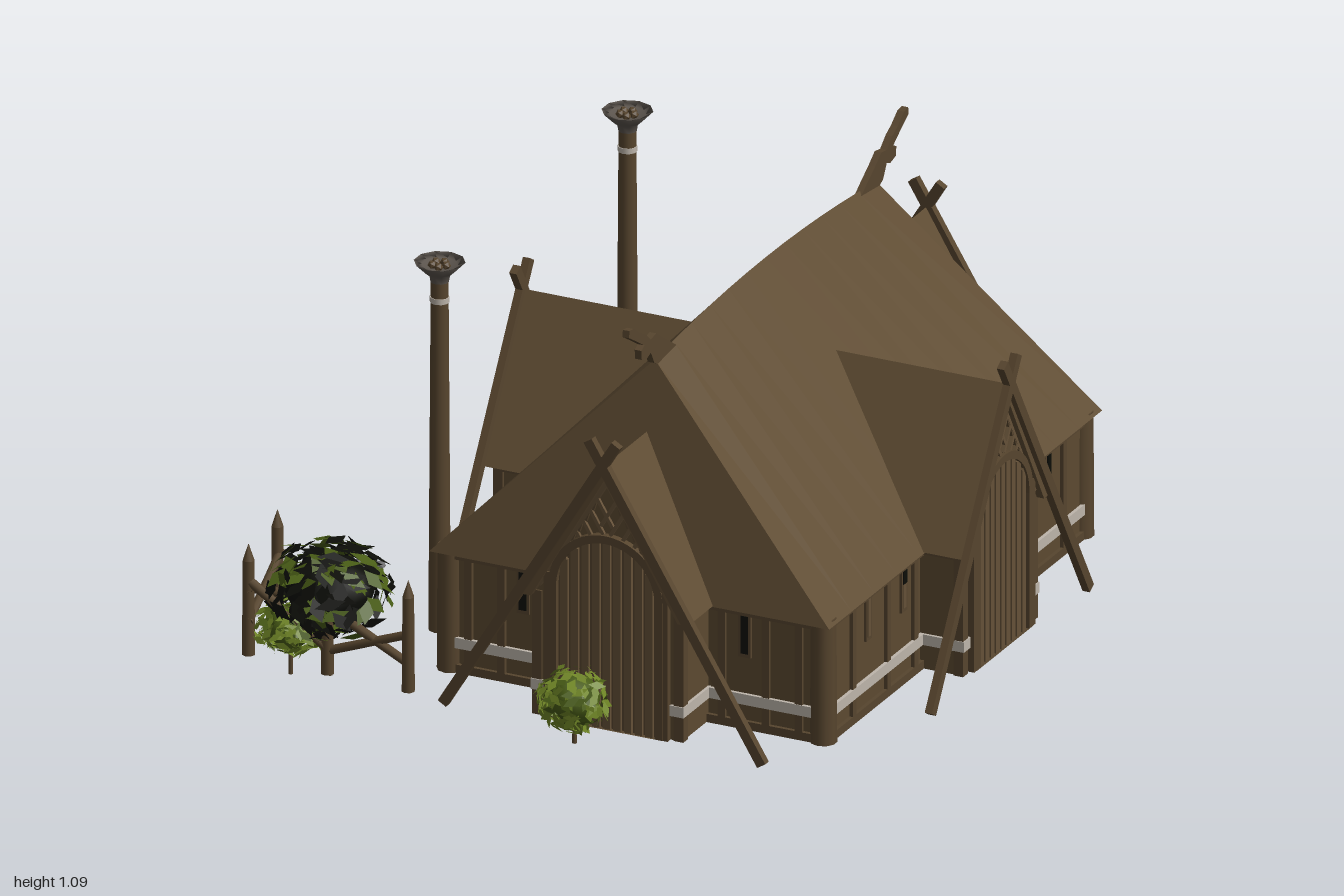
import * as THREE from 'three';

const V = (x, y, z) => new THREE.Vector3(x, y, z);
const mat = (name, color, side = THREE.FrontSide) => {
  const m = new THREE.MeshStandardMaterial({ color, side });
  m.name = name;
  return m;
};
const M = {
  roof: mat('roof brown', 0x5f4c33),
  wall: mat('wall brown', 0x5c4a31),
  beam: mat('timber', 0x57452e),
  door: mat('door wood', 0x655138),
  stripe: mat('pale stripe', 0xbdb5ab),
  stone: mat('grey stone', 0x6c6c6d),
  iron: mat('bowl metal', 0x5c554e, THREE.DoubleSide),
  black: mat('near black', 0x0c0d08, THREE.DoubleSide),
  leaf: mat('green leaf', 0x495d16, THREE.DoubleSide),
  leafLight: mat('light leaf', 0x6f8526, THREE.DoubleSide),
};
const GROUND = 0.07, EAVE = 0.4, CX = 0.213, CZ = -0.01;

let seed = 7;
const rnd = () => (seed = (seed * 16807) % 2147483647) / 2147483647;

function add(g, name, geo, m, x = 0, y = 0, z = 0) {
  const mesh = new THREE.Mesh(geo, m);
  mesh.name = name;
  mesh.position.set(x, y, z);
  g.add(mesh);
  return mesh;
}
const box = (g, name, m, w, h, d, x, y, z) => add(g, name, new THREE.BoxGeometry(w, h, d), m, x, y, z);

// Straight timber between two points, square or round
function timber(g, name, m, a, b, w, d, round = false) {
  const len = a.distanceTo(b);
  const geo = round ? new THREE.CylinderGeometry(d, w, len, 8) : new THREE.BoxGeometry(w, len, d);
  const mesh = add(g, name, geo, m);
  mesh.position.copy(a).add(b).multiplyScalar(0.5);
  mesh.quaternion.setFromUnitVectors(V(0, 1, 0), b.clone().sub(a).normalize());
}
function extrude(pts, depth) {
  const s = new THREE.Shape(pts.map(p => new THREE.Vector2(p[0], p[1])));
  return new THREE.ExtrudeGeometry(s, { depth, bevelEnabled: false });
}
function archShape(r, springY, Type = THREE.Shape) {
  const s = new Type();
  s.moveTo(-r, GROUND);
  s.lineTo(r, GROUND);
  s.lineTo(r, springY);
  s.absarc(0, springY, r, 0, Math.PI, false);
  s.lineTo(-r, GROUND);
  return s;
}

// Main roof: triangular sections along z, bowed ridge, inward-leaning ends
function mainRoof() {
  const N = 12, pos = [];
  const ring = t => [[-0.545, EAVE - 0.01, 0.752 * t], [0.545, EAVE - 0.01, 0.752 * t], [0, 0.985 - 0.035 * t * t, 0.61 * t]];
  const tri = (a, b, c) => pos.push(...a, ...b, ...c);
  for (let i = 0; i < N; i++) {
    const a = ring(-1 + 2 * i / N), b = ring(-1 + 2 * (i + 1) / N);
    for (let k = 0; k < 3; k++) {
      const n = (k + 1) % 3;
      tri(a[k], a[n], b[n]);
      tri(a[k], b[n], b[k]);
    }
  }
  const s = ring(-1), e = ring(1);
  tri(s[0], s[2], s[1]);
  tri(e[0], e[1], e[2]);
  const geo = new THREE.BufferGeometry();
  geo.setAttribute('position', new THREE.Float32BufferAttribute(pos, 3));
  geo.computeVertexNormals();
  return geo;
}

// Gabled porch facing +z, its outer beams at distance D from the house centre
function porch(D, inner) {
  const g = new THREE.Group(), F = D - 0.025, top = 0.775, depth = F - inner, mid = (F + inner) / 2;
  box(g, 'porchWalls', M.wall, 0.4, EAVE - GROUND, depth, 0, (EAVE + GROUND) / 2, mid);
  add(g, 'gableWall', extrude([[-0.205, EAVE - 0.01], [0.205, EAVE - 0.01], [0, top - 0.03]], depth), M.wall, 0, 0, inner);
  add(g, 'porchRoof', extrude([[-0.228, 0.392], [-0.2, 0.392], [0, top - 0.04], [0.2, 0.392], [0.228, 0.392], [0, top]], D - inner), M.roof, 0, 0, inner);
  // Arched door
  add(g, 'doorBack', new THREE.ExtrudeGeometry(archShape(0.138, 0.43), { depth: 0.004, bevelEnabled: false }), M.beam, 0, 0, F);
  const frame = archShape(0.155, 0.43);
  frame.holes.push(archShape(0.134, 0.43, THREE.Path));
  add(g, 'doorFrame', new THREE.ExtrudeGeometry(frame, { depth: 0.018, bevelEnabled: false, curveSegments: 16 }), M.beam, 0, 0, F);
  for (let i = -4; i <= 4; i++) {
    const x = i * 0.029, h = 0.43 + Math.sqrt(0.136 ** 2 - x * x) - GROUND;
    box(g, 'doorPlank', M.door, 0.02, h, 0.009, x, GROUND + h / 2, F + 0.008);
  }
  for (const s of [-1, 1]) {
    // Pale stripe along the side and beside the door
    box(g, 'sideStripe', M.stripe, 0.009, 0.028, depth + 0.007, s * 0.2035, 0.15, mid + 0.0035);
    box(g, 'frontStripe', M.stripe, 0.038, 0.028, 0.008, s * 0.189, 0.15, F + 0.004);
    // Corner posts, door posts and wall rails
    box(g, 'cornerPost', M.beam, 0.026, EAVE - GROUND, 0.026, s * 0.193, 0.235, F - 0.008);
    box(g, 'doorPost', M.beam, 0.018, 0.39, 0.018, s * 0.16, 0.265, F + 0.008);
    box(g, 'sideRail', M.beam, 0.012, 0.018, depth, s * 0.2, 0.385, mid);
    // Crossed gable beam, running from the ground past the ridge
    timber(g, 'gableBeam', M.beam, V(s * 0.435, GROUND - 0.005, D + 0.004), V(-s * 0.038, 0.84, D + 0.004), 0.026, 0.02);
    // Lattice above the door
    timber(g, 'innerRafter', M.door, V(s * 0.185, 0.42, F + 0.006), V(0, 0.725, F + 0.006), 0.012, 0.012);
    for (let i = 0; i < 6; i++) {
      const y = 0.52 + i * 0.032, x = (0.725 - y) * 0.607, len = 0.025 + i * 0.012;
      timber(g, 'lattice', M.door, V(s * x, y, F + 0.008), V(s * (x - len * 0.51), y - len * 0.86, F + 0.008), 0.009, 0.008);
      timber(g, 'lattice', M.beam, V(s * x, y, F + 0.007), V(s * (x + 0.012), y - 0.035, F + 0.007), 0.009, 0.008);
    }
  }
  return g;
}

// Carved beast head on the ridge, drawn in (outward, up)
function ridgeHead() {
  const pts = [[0.5, 0.945], [0.6, 0.935], [0.63, 0.95], [0.65, 0.985], [0.67, 0.978], [0.7, 0.985], [0.703, 1.01], [0.685, 1.018], [0.72, 1.04],
    [0.77, 1.07], [0.768, 1.088], [0.745, 1.085], [0.71, 1.06], [0.68, 1.045], [0.65, 1.02], [0.62, 1.025], [0.585, 1.0], [0.54, 0.972]];
  return extrude(pts, 0.018).translate(0, 0, -0.009).rotateY(-Math.PI / 2);
}

// Leafy bush: a core wrapped in tilted leaf quads, dark bushes greener on top
function bush(root, name, x, y, z, r, light, sy = 0.85) {
  const g = new THREE.Group();
  g.name = name;
  g.position.set(x, y, z);
  g.scale.y = sy;
  const sets = [[], []];
  for (let i = 0; i < 230; i++) {
    const u = rnd() * 2 - 1, a = rnd() * Math.PI * 2, q = Math.sqrt(1 - u * u);
    const d = V(q * Math.cos(a), u, q * Math.sin(a));
    const c = d.clone().multiplyScalar(r * (0.7 + 0.24 * rnd()));
    const n = d.clone().add(V(rnd() - 0.5, rnd() - 0.2, rnd() - 0.5)).normalize();
    const t = V(rnd() - 0.5, rnd() - 0.5, rnd() - 0.5).cross(n).normalize().multiplyScalar(r * 0.24);
    const b = n.clone().cross(t).multiplyScalar(0.5);
    const p = [c.clone().sub(t), c.clone().sub(b), c.clone().add(t), c.clone().add(b)];
    const k = rnd() < (light ? 0.3 : u > 0.4 ? 0.6 : 0.17) ? 1 : 0;
    for (const j of [0, 1, 2, 0, 2, 3]) sets[k].push(p[j].x, p[j].y, p[j].z);
  }
  sets.forEach((s, k) => {
    const geo = new THREE.BufferGeometry();
    geo.setAttribute('position', new THREE.Float32BufferAttribute(s, 3));
    geo.computeVertexNormals();
    add(g, 'leaves', geo, k ? M.leaf : light ? M.leafLight : M.black);
  });
  add(g, 'bushCore', new THREE.IcosahedronGeometry(r * 0.66, 1), light ? M.leaf : M.black);
  root.add(g);
  timber(root, 'bushStem', M.beam, V(x, 0.035, z), V(x, y, z), 0.006, 0.005, true);
}

export function createModel() {
  const root = new THREE.Group();
  root.name = 'timberHall';
  const hall = new THREE.Group();
  hall.name = 'hall';
  hall.position.set(CX, 0, CZ);
  root.add(hall);

  // Main block; the pale stripe runs unbroken over the studs
  const midY = (EAVE + GROUND) / 2, h = EAVE - GROUND;
  box(hall, 'mainWalls', M.wall, 1.04, h, 1.44, 0, midY, 0);
  for (const s of [-1, 1]) {
    box(hall, 'wallStripe', M.stripe, 0.009, 0.028, 1.42, s * 0.527, 0.15, 0);
    box(hall, 'wallStripe', M.stripe, 1.02, 0.028, 0.009, 0, 0.15, s * 0.727);
  }
  box(hall, 'wallPlate', M.beam, 1.06, 0.022, 1.46, 0, 0.382, 0);
  box(hall, 'sill', M.beam, 1.06, 0.022, 1.46, 0, 0.081, 0);
  add(hall, 'mainRoof', mainRoof(), M.roof);
  for (const sx of [-1, 1]) for (const sz of [-1, 1]) {
    add(hall, 'cornerColumn', new THREE.CylinderGeometry(0.032, 0.034, h, 10), M.beam, sx * 0.508, midY, sz * 0.708);
    for (const z of [0.24, 0.39, 0.58]) box(hall, 'wallStud', M.beam, 0.02, h, 0.02, sx * 0.52, midY, sz * z);
    for (const x of [0.24, 0.36, 0.45]) box(hall, 'wallStud', M.beam, 0.02, h, 0.02, sx * x, midY, sz * 0.72);
    // Slit windows: some open, some half or fully shuttered
    for (const z of [0.3, 0.495]) {
      const open = z < 0.4 ? 0.035 : sx * sz < 0 ? 0.1 : 0;
      box(hall, 'windowFrame', M.beam, 0.008, 0.12, 0.03, sx * 0.523, 0.32, sz * z);
      box(hall, 'shutter', M.door, 0.008, 0.1, 0.016, sx * 0.5245, 0.32, sz * z);
      if (open) box(hall, 'window', M.black, 0.008, open, 0.018, sx * 0.526, 0.37 - open / 2, sz * z);
    }
    box(hall, 'windowFrame', M.beam, 0.034, 0.12, 0.008, sx * 0.302, 0.32, sz * 0.723);
    box(hall, 'window', M.black, 0.02, 0.1, 0.008, sx * 0.302, 0.32, sz * 0.725);
  }
  // Four porches and two ridge heads
  ['frontPorch', 'leftPorch', 'backPorch', 'rightPorch'].forEach((name, i) => {
    const p = i % 2 ? porch(0.66, 0.15) : porch(0.89, 0.56);
    p.name = name;
    p.rotation.y = i * Math.PI / 2;
    hall.add(p);
  });
  for (const ry of [0, Math.PI]) add(hall, 'ridgeHead', ridgeHead(), M.beam).rotation.y = ry;

  // Brazier pillars
  const bowl = [[0.023, 0.995], [0.026, 1.012], [0.038, 1.022], [0.064, 1.048], [0.045, 1.04], [0.02, 1.032], [0, 1.03]].map(p => new THREE.Vector2(...p));
  for (const z of [-0.54, 0.495]) {
    add(root, 'pillar', new THREE.CylinderGeometry(0.022, 0.028, 0.93, 10), M.beam, -0.425, 0.535, z);
    add(root, 'pillarBand', new THREE.CylinderGeometry(0.0245, 0.0245, 0.014, 10), M.stripe, -0.425, 0.948, z);
    add(root, 'brazierBowl', new THREE.LatheGeometry(bowl, 10), M.iron, -0.425, 0, z);
    for (let i = 0; i < 5; i++) {
      const a = i * 1.257;
      add(root, 'coal', new THREE.IcosahedronGeometry(0.012, 0), M.beam, -0.425 + 0.018 * Math.cos(a), 1.04, z + 0.018 * Math.sin(a));
    }
  }

  // Broken corner fence
  for (const [x, z, top] of [[-0.805, 0.62, 0.32], [-0.775, 0.84, 0.32], [-0.55, 0.86, 0.24], [-0.325, 0.87, 0.32]]) {
    add(root, 'fencePost', new THREE.CylinderGeometry(0.015, 0.017, top - GROUND, 8), M.beam, x, (top + GROUND) / 2, z);
    add(root, 'fencePoint', new THREE.ConeGeometry(0.015, 0.045, 8), M.beam, x, top + 0.022, z);
  }
  const rails = [[-0.8, 0.25, 0.61, -0.77, 0.16, 0.85], [-0.8, 0.14, 0.61, -0.77, 0.25, 0.85],
    [-0.78, 0.27, 0.84, -0.55, 0.14, 0.865], [-0.55, 0.13, 0.86, -0.32, 0.22, 0.865], [-0.55, 0.24, 0.85, -0.32, 0.14, 0.87]];
  for (const r of rails) timber(root, 'fenceRail', M.beam, V(r[0], r[1], r[2]), V(r[3], r[4], r[5]), 0.012, 0.011, true);

  // Bushes
  bush(root, 'fenceBush', -0.575, 0.265, 0.795, 0.17, false, 0.76);
  bush(root, 'fenceLowBush', -0.665, 0.16, 0.83, 0.095, true, 0.8);
  bush(root, 'frontBush', 0.145, 0.155, 0.905, 0.098, true, 0.92);
  bush(root, 'backCornerBush', -0.505, 0.195, -0.855, 0.138, false, 0.85);
  bush(root, 'backCornerLowBush', -0.665, 0.155, -0.84, 0.105, true, 0.75);
  bush(root, 'backBush', 0.275, 0.2, -0.83, 0.18, false, 0.7);
  timber(root, 'backBushRoot', M.beam, V(0.37, 0, -0.86), V(0.36, 0.16, -0.86), 0.005, 0.006, true);

  // Rocks: x, z, size, width
  for (const [x, z, r, w] of [[-0.835, 0.34, 0.05, 0.5], [-0.74, 0.345, 0.052, 0.85], [-0.775, 0.25, 0.026, 0.8], [-0.875, 0.31, 0.022, 1], [-0.725, 0.225, 0.02, 0.9], [-0.725, 0.262, 0.022, 1.2]]) {
    const rock = add(root, 'rock', new THREE.DodecahedronGeometry(r, 0), M.stone, x, GROUND + r * 0.3, z);
    rock.scale.set(w, 0.6, 1);
    rock.rotation.y = rnd() * 0.6;
  }
  return root;
}
